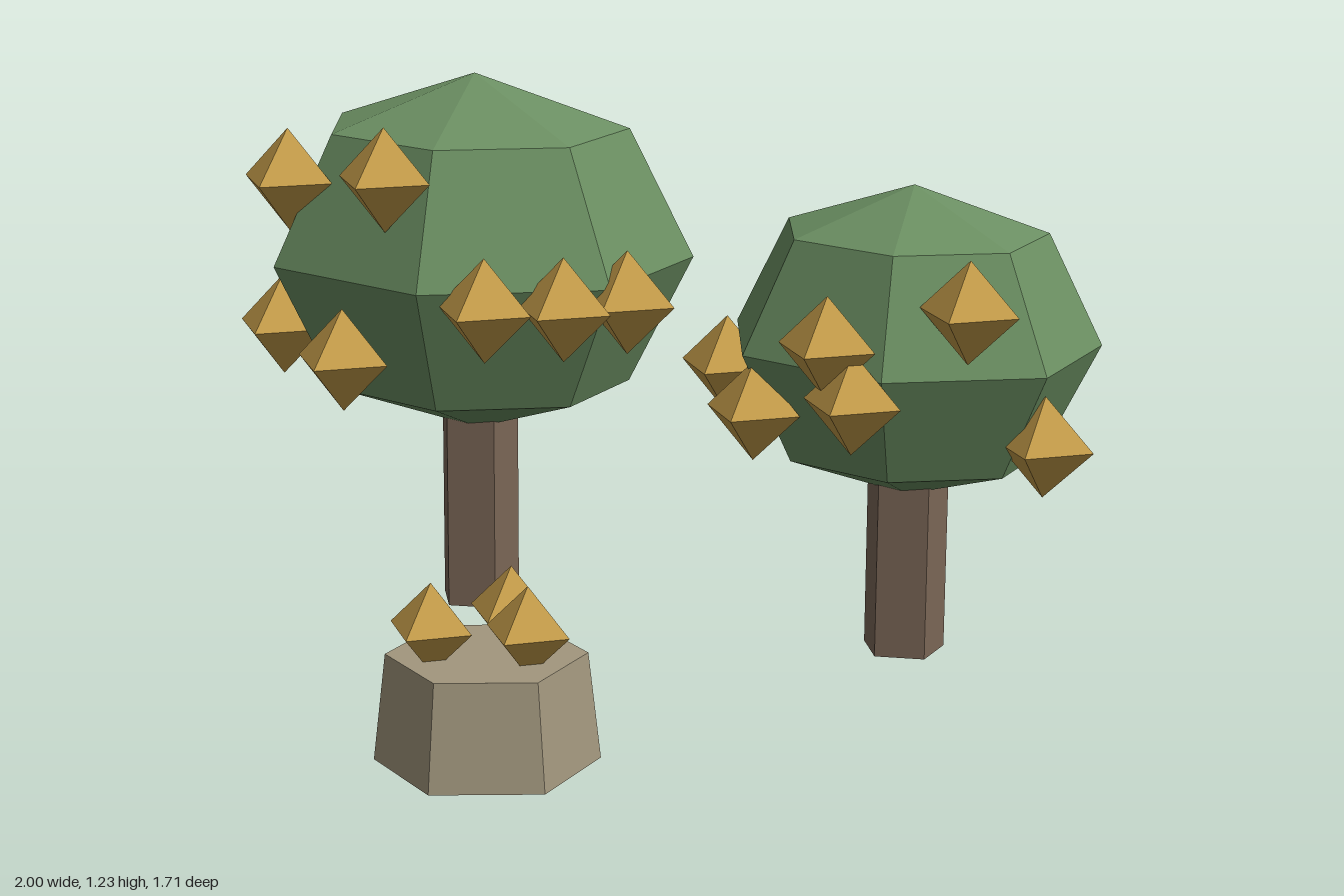
import * as THREE from 'three';

function flatMaterial(name, color) {
  const m = new THREE.MeshStandardMaterial({ color, flatShading: true });
  m.name = name;
  return m;
}

export function createModel() {
  const model = new THREE.Group();
  model.name = 'orchard';
  const leaf = flatMaterial('leaf green', 0x6b8f62);
  const bark = flatMaterial('bark brown', 0x7a6656);
  const gold = flatMaterial('fruit gold', 0xc59d4a);
  const straw = flatMaterial('basket tan', 0xa2977e);

  function addMesh(parent, name, geometry, material, x, y, z) {
    const mesh = new THREE.Mesh(geometry, material);
    mesh.name = name;
    mesh.position.set(x, y, z);
    parent.add(mesh);
    return mesh;
  }

  function addFruit(parent, radius, centres) {
    const geometry = new THREE.OctahedronGeometry(radius);
    centres.forEach(([x, y, z]) => addMesh(parent, 'fruit', geometry, gold, x, y, z));
  }

  // Tree: five-sided trunk, squashed seven-sided crown, fruit on the front
  function addTree(name, x, z, crownY, crownSize, fruitRadius, fruit) {
    const tree = new THREE.Group();
    tree.name = name;
    const trunk = new THREE.CylinderGeometry(0.093, 0.093, crownY, 5).rotateY(-Math.PI / 2);
    addMesh(tree, 'trunk', trunk, bark, x, crownY / 2, z);
    const crown = new THREE.SphereGeometry(1, 7, 4).scale(...crownSize);
    addMesh(tree, 'crown', crown, leaf, x, crownY, z);
    addFruit(tree, fruitRadius, fruit);
    model.add(tree);
  }

  addTree('largeTree', -0.473, -0.34, 0.82, [0.502, 0.41, 0.451], 0.115, [
    [-0.778, 1.01, -0.043], [-0.478, 1.048, 0.035], [-0.885, 0.642, -0.165],
    [-0.58, 0.642, 0.055], [-0.222, 0.791, 0.05], [-0.09, 0.786, -0.06],
    [-0.005, 0.786, -0.19],
  ]);
  addTree('smallTree', 0.533, -0.487, 0.7, [0.418, 0.345, 0.379], 0.11, [
    [0.133, 0.62, -0.4], [0.291, 0.578, -0.21], [0.5, 0.76, -0.12],
    [0.56, 0.647, -0.12], [0.775, 0.845, -0.217], [0.887, 0.535, -0.38],
  ]);

  // Six-sided basket holding picked fruit
  const basket = new THREE.Group();
  basket.name = 'basket';
  addMesh(basket, 'basketBody', new THREE.CylinderGeometry(0.2, 0.225, 0.22, 6), straw, 0.123, 0.15, 0.633);
  addFruit(basket, 0.093, [[0.04, 0.32, 0.705], [0.123, 0.32, 0.535], [0.217, 0.32, 0.633]]);
  model.add(basket);

  return model;
}
